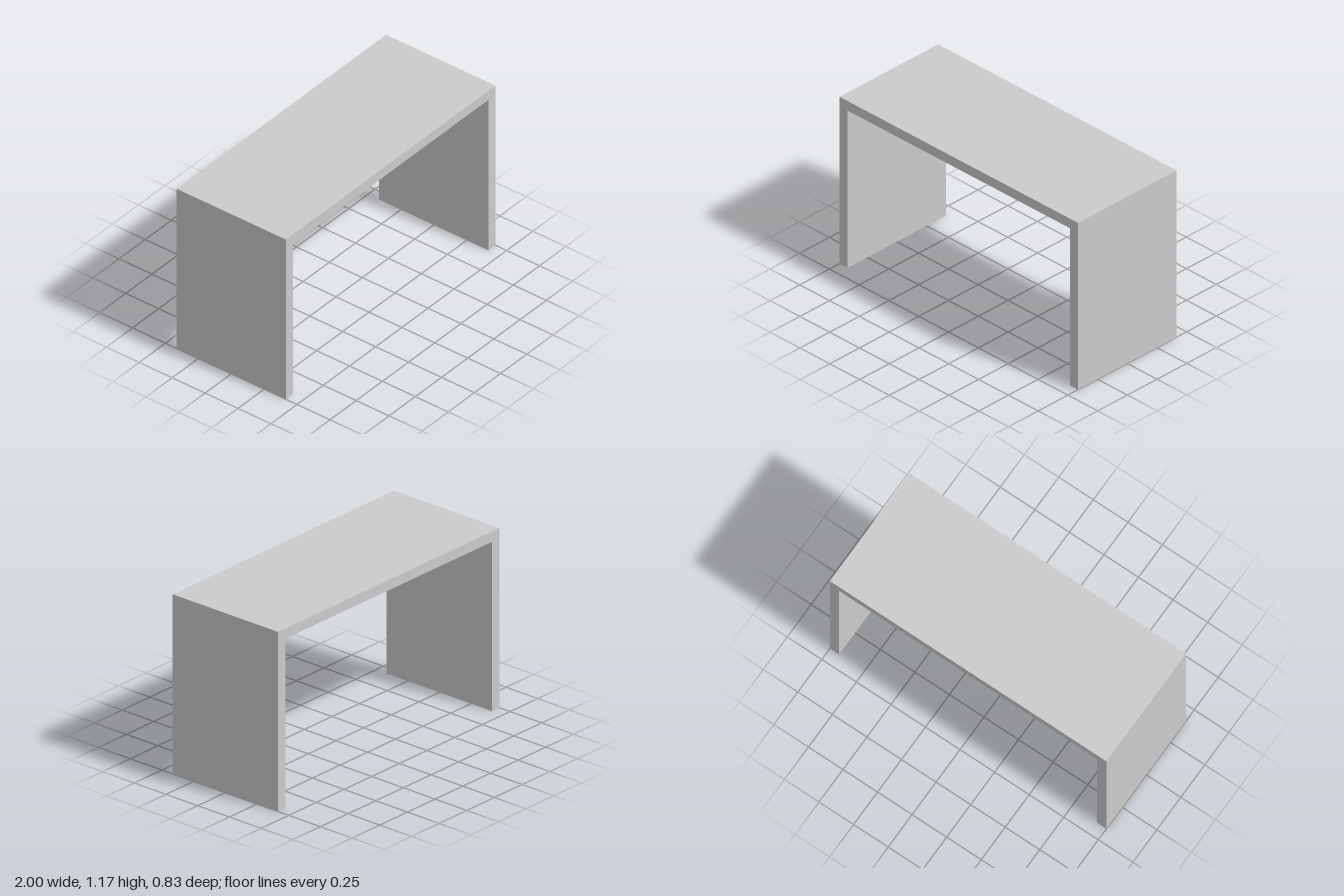
import * as THREE from 'three';

const WIDTH = 2, HEIGHT = 1.17, DEPTH = 0.83, THICK = 0.067;

export function createModel() {
  const table = new THREE.Group();
  table.name = 'table';
  const material = new THREE.MeshStandardMaterial({ color: 0xcccccc });

  const addPanel = (name, w, h, x, y) => {
    const panel = new THREE.Mesh(new THREE.BoxGeometry(w, h, DEPTH), material);
    panel.name = name;
    panel.position.set(x, y, 0);
    table.add(panel);
  };

  // Full-width top slab
  addPanel('tableTop', WIDTH, THICK, 0, HEIGHT - THICK / 2);

  // Side panels standing under the slab, flush with its ends
  const legHeight = HEIGHT - THICK;
  for (const [name, side] of [['leftLeg', 1], ['rightLeg', -1]]) {
    addPanel(name, THICK, legHeight, side * (WIDTH - THICK) / 2, legHeight / 2);
  }

  return table;
}
